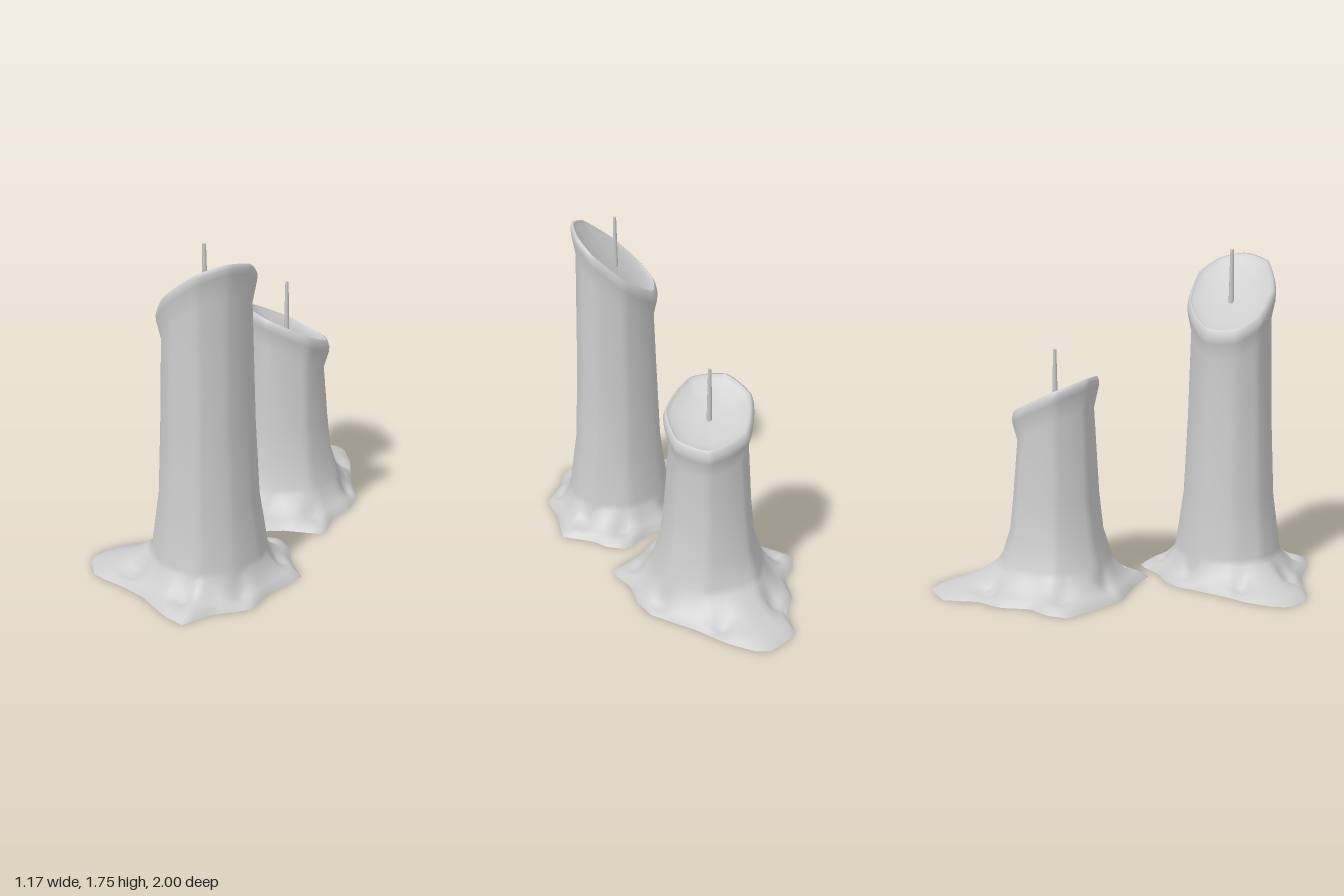
import * as THREE from 'three';

const SIDES = 64;

// Distance from a centre to a closed outline along one direction
function reach(outline, [cx, cz], dx, dz) {
  let best = 0;
  outline.forEach(([ax, az], i) => {
    const [bx, bz] = outline[(i + 1) % outline.length];
    const px = ax - cx, pz = az - cz, ex = bx - ax, ez = bz - az;
    const den = dx * ez - dz * ex;
    if (Math.abs(den) < 1e-9) return;
    const t = (px * ez - pz * ex) / den;
    const s = (px * dz - pz * dx) / den;
    if (t > 0 && s >= -1e-6 && s <= 1 + 1e-6) best = Math.max(best, t);
  });
  return best;
}

// Skin a stack of closed rings, each made by point(ring, dx, dz)
function loft(rings, point) {
  const pos = [], idx = [];
  rings.forEach((ring, r) => {
    for (let i = 0; i < SIDES; i++) {
      const a = (i / SIDES) * Math.PI * 2;
      pos.push(...point(ring, Math.cos(a), Math.sin(a)));
      if (r === 0) continue;
      const j = (i + 1) % SIDES, lo = (r - 1) * SIDES, hi = r * SIDES;
      idx.push(lo + i, hi + i, lo + j, lo + j, hi + i, hi + j);
    }
  });
  const geo = new THREE.BufferGeometry();
  geo.setAttribute('position', new THREE.Float32BufferAttribute(pos, 3));
  geo.setIndex(idx);
  geo.computeVertexNormals();
  return geo;
}

function makeCandle(c, wax) {
  const [cx, cz] = c.centre;
  const group = new THREE.Group();
  group.name = c.name;
  const add = (name, geo) => {
    const mesh = new THREE.Mesh(geo, wax);
    mesh.name = name;
    group.add(mesh);
    return mesh;
  };
  const slant = (x, z) => c.rimY + c.slopeX * (x - cx) + c.slopeZ * (z - cz);

  // Radius of the column: the rim polygon softened toward a circle
  const column = (dx, dz, size) =>
    size * (0.5 + 0.5 * reach(c.rim, c.centre, dx, dz) / 0.225);

  // Wall: spreading foot with dimples, tapering column, slanted swollen lip
  const wall = [
    { spread: 1, y: 0 }, { spread: 0.85, y: 0.025 }, { spread: 0.7, y: 0.04 },
    { spread: 0.55, y: 0.055 }, { spread: 0.4, y: 0.075 }, { spread: 0.25, y: 0.1 },
    { spread: 0.1, y: 0.13 }, { spread: 0, y: 0.16 },
    ...c.column.map(([size, y]) => ({ size, y })),
    { size: c.neck, drop: 0.16 }, { size: 0.228, drop: 0.06 },
    { size: 0.23, drop: 0.03 }, { size: 0.222, drop: 0.005 }, { size: 0.212, drop: 0 },
  ];
  add('waxBody', loft(wall, (ring, dx, dz) => {
    let r, y = ring.y;
    if (ring.spread !== undefined) {
      const inner = column(dx, dz, c.foot);
      r = inner + ring.spread * (reach(c.base, c.centre, dx, dz) - inner);
    } else r = column(dx, dz, ring.size);
    const x = cx + r * dx, z = cz + r * dz;
    if (ring.drop !== undefined) y = slant(x, z) - ring.drop;
    if (ring.spread > 0 && ring.spread < 1) {
      for (const [px, pz] of c.dimples) {
        const d2 = (x - px) ** 2 + (z - pz) ** 2;
        y -= 0.05 * Math.exp(-d2 / 0.0022);
      }
      y = Math.max(y, 0.006);
    }
    return [x, y, z];
  }));

  // Shallow melted pool inside the lip
  const pool = [[0.212, 0], [0.2, 0.015], [0.15, 0.035], [0.08, 0.045], [0.001, 0.05]];
  add('meltedPool', loft(pool, ([size, drop], dx, dz) => {
    const r = column(dx, dz, size);
    const x = cx + r * dx, z = cz + r * dz;
    return [x, slant(x, z) - drop, z];
  }));

  // Wick
  const bottom = c.rimY - 0.06, height = c.wickTop - bottom;
  const wick = add('wick', new THREE.CylinderGeometry(0.009, 0.014, height, 6));
  wick.position.set(cx, bottom + height / 2, cz);
  return group;
}

export function createModel() {
  const wax = new THREE.MeshStandardMaterial({ color: 0xcccccc, side: THREE.DoubleSide });
  wax.name = 'greyWax';

  const model = new THREE.Group();
  model.name = 'meltedCandles';

  model.add(makeCandle({
    name: 'shortCandle', centre: [-0.07, -0.35],
    rimY: 1.03, slopeX: -0.2, slopeZ: 0.45, wickTop: 1.26,
    foot: 0.295, neck: 0.203, column: [[0.25, 0.3], [0.228, 0.5]],
    rim: [[0, -0.58], [0.14, -0.46], [0.145, -0.27], [-0.03, -0.13],
      [-0.22, -0.17], [-0.305, -0.33], [-0.22, -0.54]],
    base: [[-0.21, -1], [-0.13, -0.98], [0, -0.87], [0.09, -0.75], [0.29, -0.55],
      [0.33, -0.43], [0.33, -0.28], [0.4, -0.12], [0.2, 0], [0.08, 0.13],
      [-0.07, 0.07], [-0.15, 0.05], [-0.32, 0.01], [-0.45, -0.11], [-0.59, -0.24],
      [-0.55, -0.36], [-0.47, -0.44], [-0.46, -0.6], [-0.38, -0.72], [-0.37, -0.9]],
    dimples: [[-0.32, -0.68], [-0.01, -0.78], [0.22, -0.52], [0.27, -0.18],
      [0.07, -0.03], [-0.27, -0.09], [-0.45, -0.28]],
  }, wax));

  model.add(makeCandle({
    name: 'tallCandle', centre: [0.18, 0.55],
    rimY: 1.53, slopeX: 0.8, slopeZ: 0.25, wickTop: 1.75,
    foot: 0.28, neck: 0.208, column: [[0.24, 0.45], [0.222, 0.85]],
    rim: [[0.19, 0.325], [0.36, 0.36], [0.41, 0.48], [0.4, 0.63], [0.32, 0.76],
      [0.14, 0.78], [0, 0.7], [-0.045, 0.58], [0, 0.42]],
    base: [[0.26, 0.07], [0.36, 0.12], [0.43, 0.2], [0.58, 0.29], [0.56, 0.5],
      [0.585, 0.68], [0.47, 0.84], [0.42, 1], [0.3, 1], [0.1, 0.95], [-0.05, 0.95],
      [-0.22, 0.97], [-0.36, 0.87], [-0.36, 0.79], [-0.31, 0.66], [-0.2, 0.5],
      [-0.08, 0.28], [0, 0.22], [0.12, 0.18]],
    dimples: [[0.25, 0.2], [0.43, 0.32], [0.49, 0.66], [0.32, 0.88],
      [-0.04, 0.86], [-0.19, 0.62], [-0.03, 0.36]],
  }, wax));

  return model;
}
